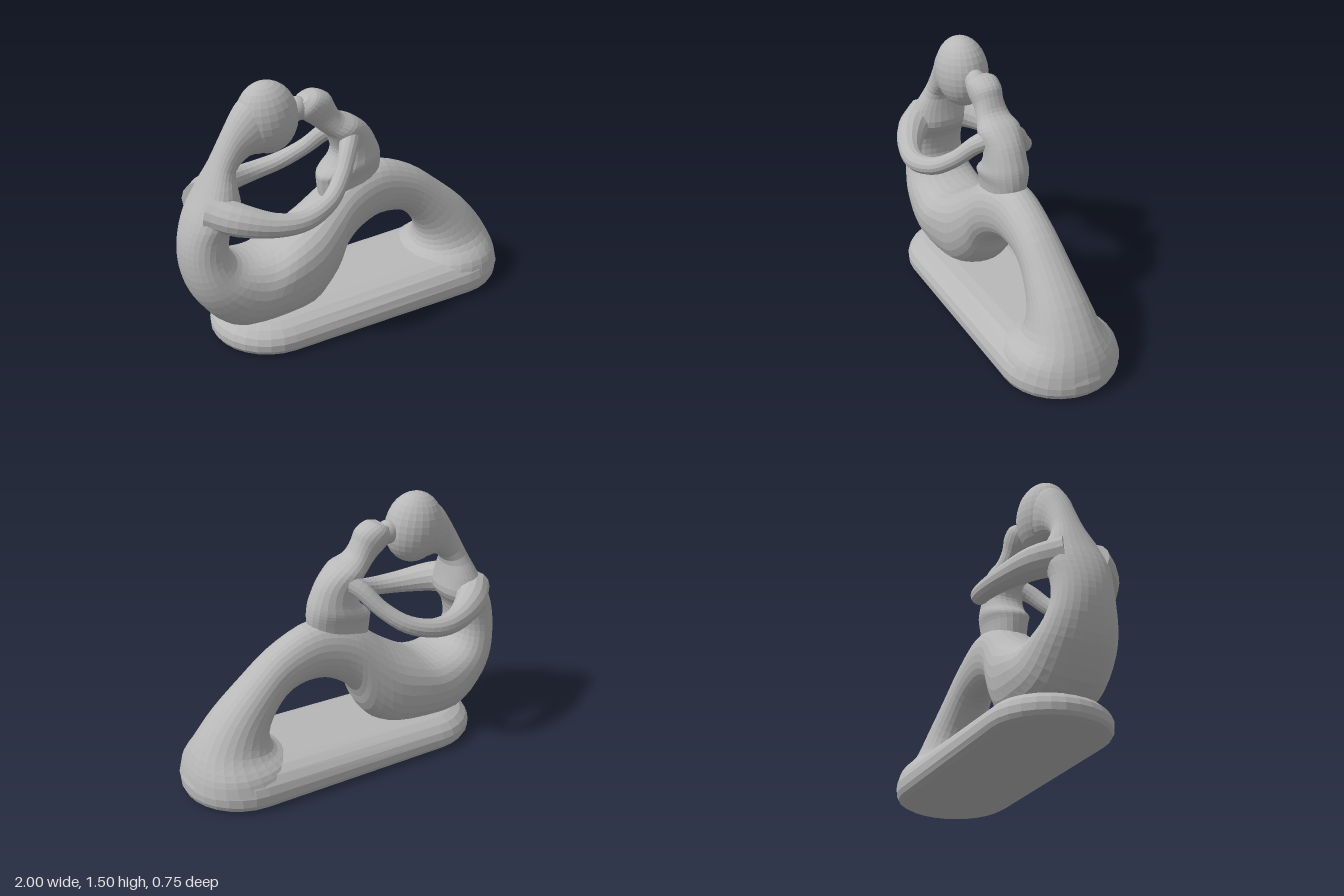
import * as THREE from 'three';

const V = (x, y, z) => new THREE.Vector3(x, y, z);
const spline = (pts) => new THREE.CatmullRomCurve3(pts, false, 'catmullrom', 0.5);

// Closed skin over a list of equally sized rings, faceted, facing outward
function loft(rings) {
  const n = rings[0].length;
  const tris = [];
  const capEnd = (ring, flip) => {
    const mid = ring.reduce((s, p) => s.add(p), V(0, 0, 0)).divideScalar(n);
    ring.forEach((p, i) => {
      const q = ring[(i + 1) % n];
      tris.push(flip ? [mid, q, p] : [mid, p, q]);
    });
  };
  for (let r = 0; r < rings.length - 1; r++) {
    for (let i = 0; i < n; i++) {
      const j = (i + 1) % n;
      const a = rings[r][i], b = rings[r][j], c = rings[r + 1][j], d = rings[r + 1][i];
      tris.push([a, b, c], [a, c, d]);
    }
  }
  capEnd(rings[0], true);
  capEnd(rings[rings.length - 1], false);
  const volume = tris.reduce((s, [a, b, c]) => s + a.dot(V(0, 0, 0).crossVectors(b, c)), 0);
  const pts = tris.flatMap(([a, b, c]) => (volume < 0 ? [a, c, b] : [a, b, c]));
  const geo = new THREE.BufferGeometry().setFromPoints(pts);
  geo.computeVertexNormals();
  return geo;
}

// Body symmetric in z: each row is [edge A x, y, edge B x, y, half depth]
function bodySweep(rows, steps, sides) {
  const edgeA = spline(rows.map((r) => V(r[0], r[1], r[4])));
  const edgeB = spline(rows.map((r) => V(r[2], r[3], r[4])));
  const rings = [];
  for (let s = 0; s <= steps; s++) {
    const a = edgeA.getPoint(s / steps), b = edgeB.getPoint(s / steps);
    const ring = [];
    for (let i = 0; i < sides; i++) {
      const t = (i / sides) * Math.PI * 2;
      const c = Math.cos(t), sn = Math.sin(t);
      const k = 0.5 + 0.5 * Math.sign(c) * Math.abs(c) ** 0.92;
      ring.push(V(a.x + (b.x - a.x) * k, a.y + (b.y - a.y) * k,
        a.z * Math.sign(sn) * Math.abs(sn) ** 0.92));
    }
    rings.push(ring);
  }
  return loft(rings);
}

// Round limb of changing thickness: each row is [x, y, z, radius]
function limb(rows, side, steps, sides) {
  const path = spline(rows.map((r) => V(r[0], r[1], r[2] * side)));
  const thick = spline(rows.map((r) => V(r[3], 0, 0)));
  const rings = [];
  for (let s = 0; s <= steps; s++) {
    const p = path.getPoint(s / steps), r = thick.getPoint(s / steps).x;
    const t = path.getTangent(s / steps);
    const u = V(0, 0, 0).crossVectors(t, V(0, 1, 0)).normalize();
    const w = V(0, 0, 0).crossVectors(u, t);
    rings.push(Array.from({ length: sides }, (_, i) => {
      const q = (i / sides) * Math.PI * 2;
      return p.clone().addScaledVector(u, r * Math.cos(q)).addScaledVector(w, r * Math.sin(q));
    }));
  }
  return loft(rings);
}

// Rounded-end plinth outline at one height
function plinthRing(inset, y) {
  const half = 0.335, r = half - inset, ring = [];
  for (const [cx, start] of [[1 - half, -Math.PI / 2], [-0.82 + half, Math.PI / 2]]) {
    for (let i = 0; i <= 14; i++) {
      const t = start + (i / 14) * Math.PI;
      const x = cx + r * Math.cos(t);
      ring.push(V(x, y * (1 + 0.17 * x), r * Math.sin(t)));
    }
  }
  return ring;
}

function ellipsoid(x, y, z, rx, ry, rz, tilt = 0) {
  const geo = new THREE.SphereGeometry(1, 24, 16).scale(rx, ry, rz)
    .rotateZ(tilt).translate(x, y, z).toNonIndexed();
  geo.computeVertexNormals();
  return geo;
}

export function createModel() {
  const model = new THREE.Group();
  model.name = 'sculpture';
  const stone = new THREE.MeshStandardMaterial({ color: 0xb8b8b8 });
  stone.name = 'grey stone';
  const add = (name, geo) => {
    const mesh = new THREE.Mesh(geo, stone);
    mesh.name = name;
    model.add(mesh);
  };

  // Plinth
  add('plinth', loft([[0.045, 0], [0.015, 0.015], [0.002, 0.04], [0, 0.085], [0.015, 0.125],
    [0.05, 0.162], [0.1, 0.185], [0.17, 0.195]].map(([inset, y]) => plinthRing(inset, y))));

  // Large figure: neck, back, hips, thigh, knee and shin in one flow
  add('seatedBody', bodySweep([
    [-0.53, 1.47, -0.42, 1.18, 0.12],
    [-0.63, 1.39, -0.50, 1.11, 0.115],
    [-0.715, 1.26, -0.59, 1.11, 0.09],
    [-0.80, 1.10, -0.67, 1.05, 0.095],
    [-0.88, 0.95, -0.67, 0.96, 0.15],
    [-0.95, 0.82, -0.66, 0.85, 0.18],
    [-0.99, 0.70, -0.72, 0.75, 0.165],
    [-1.00, 0.58, -0.74, 0.63, 0.17],
    [-0.98, 0.44, -0.70, 0.545, 0.195],
    [-0.92, 0.30, -0.60, 0.51, 0.22],
    [-0.78, 0.14, -0.48, 0.525, 0.235],
    [-0.58, 0.08, -0.36, 0.59, 0.24],
    [-0.30, 0.09, -0.23, 0.68, 0.22],
    [-0.12, 0.24, -0.12, 0.77, 0.185],
    [-0.05, 0.39, -0.02, 0.83, 0.16],
    [0.06, 0.49, 0.10, 0.865, 0.14],
    [0.20, 0.54, 0.25, 0.86, 0.125],
    [0.36, 0.515, 0.45, 0.77, 0.12],
    [0.46, 0.42, 0.62, 0.635, 0.135],
    [0.505, 0.32, 0.80, 0.47, 0.165],
    [0.485, 0.24, 0.92, 0.31, 0.21],
    [0.42, 0.20, 0.975, 0.19, 0.29],
    [0.35, 0.14, 0.998, 0.09, 0.325],
  ], 66, 28));
  add('largeHead', ellipsoid(-0.465, 1.295, 0, 0.172, 0.203, 0.145, 0.12));

  // Small figure sitting on the knee
  add('smallBody', bodySweep([
    [-0.15, 0.70, 0.20, 0.78, 0.10],
    [-0.165, 0.82, 0.22, 0.87, 0.11],
    [-0.16, 0.87, 0.215, 0.95, 0.125],
    [-0.10, 0.93, 0.19, 1.02, 0.115],
    [-0.07, 1.00, 0.14, 1.11, 0.11],
    [-0.10, 1.09, 0.06, 1.18, 0.12],
    [-0.14, 1.13, -0.03, 1.225, 0.095],
    [-0.20, 1.185, -0.07, 1.29, 0.082],
    [-0.26, 1.235, -0.10, 1.35, 0.09],
    [-0.285, 1.28, -0.17, 1.385, 0.085],
    [-0.28, 1.34, -0.23, 1.375, 0.05],
  ], 36, 22));
  add('touchingFaces', ellipsoid(-0.29, 1.3, 0, 0.07, 0.068, 0.06));

  // Arms reaching around between the two figures
  for (const [name, side] of [['frontArm', 1], ['backArm', -1]]) {
    add(name, limb([
      [-0.84, 0.87, 0.07, 0.10],
      [-0.73, 0.845, 0.20, 0.088],
      [-0.57, 0.815, 0.29, 0.066],
      [-0.41, 0.815, 0.318, 0.055],
      [-0.25, 0.86, 0.28, 0.05],
      [-0.13, 0.95, 0.205, 0.046],
      [-0.05, 1.05, 0.13, 0.05],
      [0.01, 1.11, 0.05, 0.06],
    ], side, 28, 14));
  }
  return model;
}
